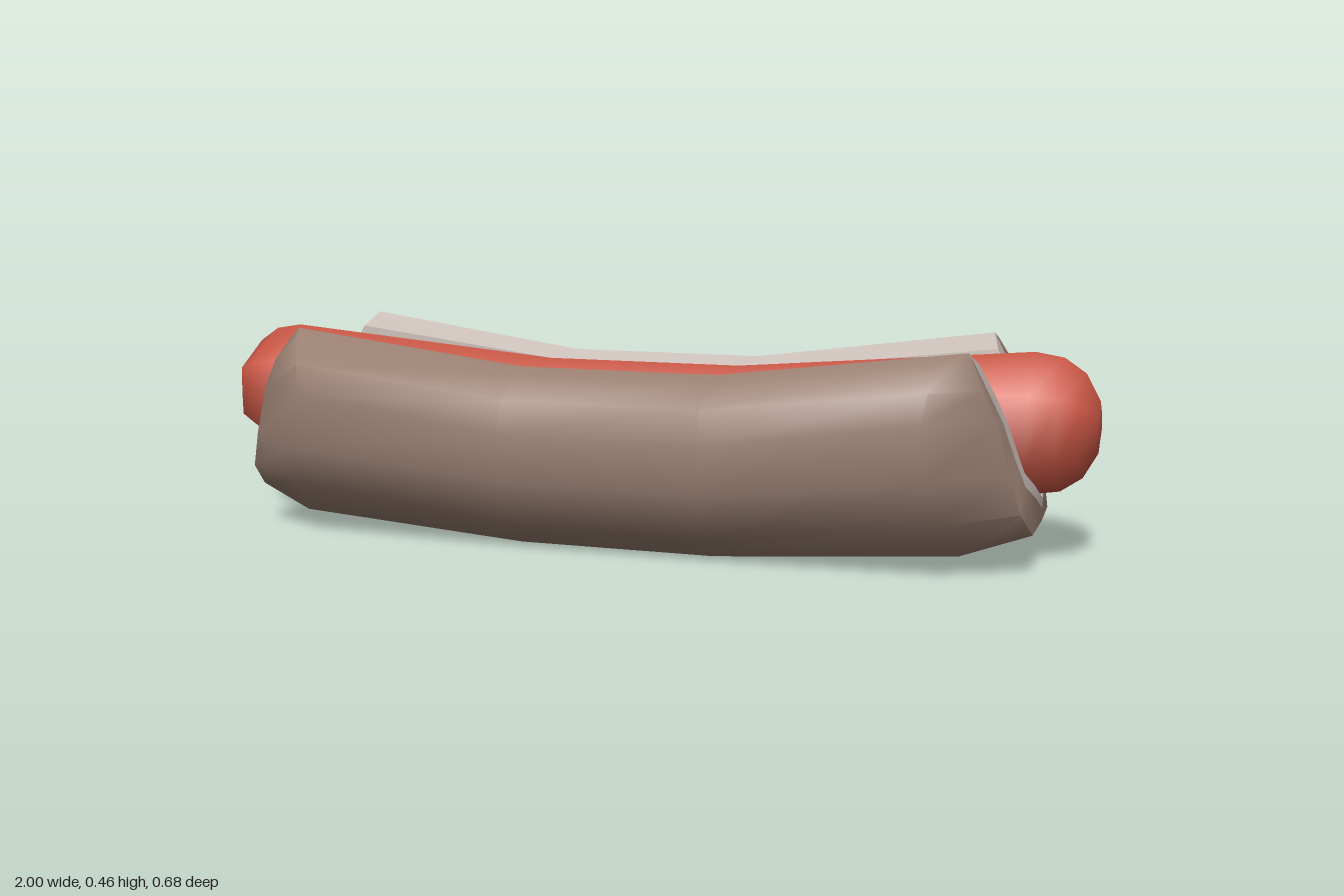
import * as THREE from 'three';
import { toCreasedNormals } from 'three/addons/utils/BufferGeometryUtils.js';

// Skin a list of cross-section rows (each a list of [x, y, z])
function loft(rows, flip, crease) {
  const n = rows[0].length, index = [];
  const same = (a, b) => Math.hypot(a[0] - b[0], a[1] - b[1], a[2] - b[2]) < 1e-5;
  const flat = rows.flat();
  const tri = (a, b, c) => {
    if (same(flat[a], flat[b]) || same(flat[b], flat[c]) || same(flat[a], flat[c])) return;
    index.push(...(flip ? [a, c, b] : [a, b, c]));
  };
  for (let i = 0; i < rows.length - 1; i++) {
    for (let j = 0; j < n - 1; j++) {
      const a = i * n + j, b = a + n;
      tri(a, a + 1, b);
      tri(a + 1, b + 1, b);
    }
  }
  const geo = new THREE.BufferGeometry();
  geo.setAttribute('position', new THREE.Float32BufferAttribute(flat.flat(), 3));
  geo.setIndex(index);
  return toCreasedNormals(geo, crease);
}

// Half section [z, y, x] from bottom centre to rim, mirrored to a full U
const fullSection = (half) => [
  ...half.slice(1).reverse().map(([z, y, x]) => [x, y, z]),
  ...half.map(([z, y, x]) => [x, y, -z]),
];

// Sections listed from the middle to the +x end, mirrored to the -x end
const bothEnds = (rows) => [
  ...rows.slice().reverse().map((row) => row.map(([x, y, z]) => [-x, y, z])),
  ...rows,
];

export function createModel() {
  const group = new THREE.Group();
  const add = (name, geo, color) => {
    const material = new THREE.MeshStandardMaterial({ color, side: THREE.DoubleSide });
    const mesh = new THREE.Mesh(geo, material);
    mesh.name = name;
    group.add(mesh);
  };

  // Edge where the crust meets the bread at each end
  const endEdge = [[0, 0.112, 0.885], [0.09, 0.151, 0.88], [0.18, 0.19, 0.868], [0.183, 0.24, 0.848],
    [0.19, 0.32, 0.82], [0.194, 0.39, 0.785], [0.198, 0.44, 0.76], [0.2, 0.458, 0.75]];

  // Bun crust: middle, shoulder, rounded end, end edge
  const crust = [
    [[0, 0, 0.22], [0.185, 0, 0.22], [0.262, 0.052, 0.22], [0.315, 0.16, 0.22],
      [0.318, 0.26, 0.22], [0.3, 0.33, 0.22], [0.22, 0.376, 0.22], [0.17, 0.388, 0.22]],
    [[0, 0.042, 0.75], [0.2, 0.042, 0.74], [0.285, 0.12, 0.71], [0.335, 0.21, 0.69],
      [0.342, 0.33, 0.68], [0.325, 0.39, 0.69], [0.24, 0.445, 0.73], [0.2, 0.458, 0.75]],
    [[0, 0.085, 0.885], [0.15, 0.085, 0.882], [0.22, 0.14, 0.865], [0.24, 0.22, 0.842],
      [0.25, 0.33, 0.812], [0.245, 0.39, 0.787], [0.215, 0.445, 0.758], [0.2, 0.458, 0.75]],
    endEdge,
  ];
  add('bunCrust', loft(bothEnds(crust.map(fullSection)), false, 1.1), 0x9a8072);

  // Soft bread lining with slanted end faces
  const bread = [
    [[0, 0.085, 0.22], [0.066, 0.12, 0.22], [0.133, 0.155, 0.22], [0.133, 0.19, 0.22],
      [0.133, 0.25, 0.22], [0.133, 0.31, 0.22], [0.135, 0.362, 0.22], [0.17, 0.388, 0.22]],
    [[0, 0.135, 0.885], [0.066, 0.172, 0.875], [0.133, 0.21, 0.86], [0.133, 0.25, 0.845],
      [0.133, 0.31, 0.823], [0.134, 0.36, 0.8], [0.145, 0.428, 0.765], [0.2, 0.458, 0.75]],
    endEdge,
  ];
  add('breadLining', loft(bothEnds(bread.map(fullSection)), true, 0.6), 0xc6bab4);

  // Six-sided sausage, bending up towards rounded ends: [x, centre height, radius]
  const stations = [[0.22, 0.237, 0.15], [0.86, 0.291, 0.151], [0.92, 0.291, 0.141],
    [0.965, 0.291, 0.11], [0.995, 0.29, 0.055], [1, 0.29, 0]];
  const sausage = stations.map(([x, y, r]) => Array.from({ length: 7 }, (_, i) => {
    const t = (i % 6) * Math.PI / 3;
    return [x, y + r * Math.cos(t), r * Math.sin(t)];
  }));
  add('sausage', loft(bothEnds(sausage), false, 1.2), 0xd05a48);

  return group;
}
